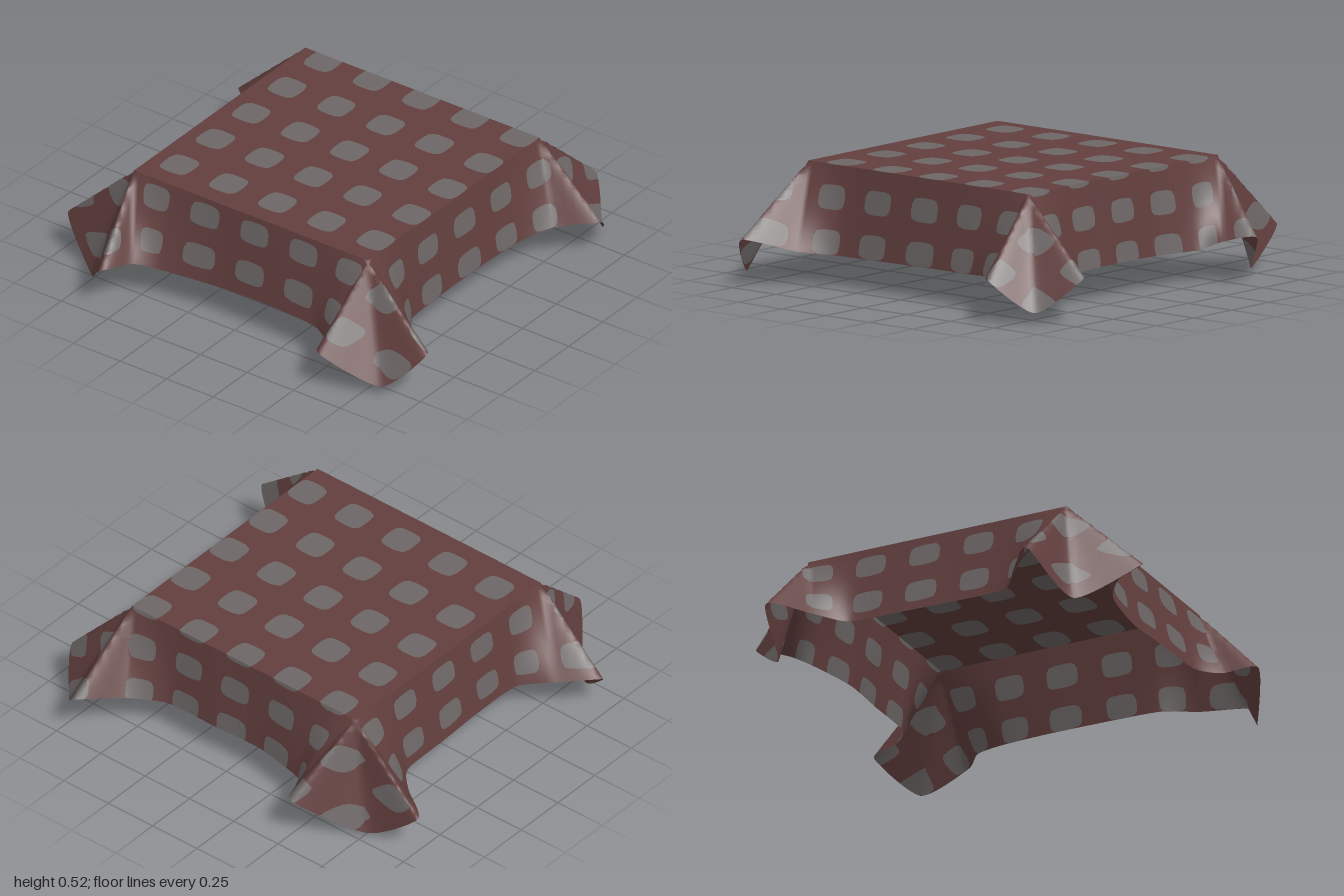
import * as THREE from 'three';
import { mergeVertices } from 'three/addons/utils/BufferGeometryUtils.js';

const T = 0.63;      // half width of the flat top
const H = 1.16;      // half width of the unfolded cloth
const TOP = 0.525;   // height of the flat top

// Hem positions at these places along each side of the unfolded cloth:
// cloth corner, fold tip, fold root, four along the side, fold root, fold tip
const KNOTS = [-H, -0.81, -T, -0.4, -0.13, 0.13, 0.4, T, 0.81, H];
const FRONT = [
  [-0.78, 0, 0.74], [-0.57, 0.2, 0.97], [-0.5, 0.19, 0.82], [-0.4, 0.155, 0.74], [-0.13, 0.15, 0.7],
  [0.13, 0.16, 0.705], [0.4, 0.155, 0.72], [0.52, 0.165, 0.8], [0.59, 0.19, 0.94]];
const LEFT = [
  [0.83, 0.045, 0.81], [1, 0.215, 0.7], [0.82, 0.16, 0.54], [0.7, 0.14, 0.4], [0.685, 0.14, 0.15],
  [0.69, 0.145, -0.13], [0.71, 0.15, -0.37], [0.78, 0.17, -0.53], [0.94, 0.19, -0.66]];
const BACK = [
  [0.82, 0.05, -0.83], [0.67, 0.2, -0.98], [0.53, 0.17, -0.8], [0.38, 0.15, -0.69], [0.13, 0.155, -0.69],
  [-0.13, 0.15, -0.68], [-0.38, 0.15, -0.73], [-0.45, 0.19, -0.82], [-0.53, 0.21, -0.94]];
const RIGHT = [
  [-0.76, 0.015, -0.71], [-1, 0.175, -0.65], [-0.83, 0.17, -0.51], [-0.72, 0.15, -0.38], [-0.71, 0.15, -0.13],
  [-0.7, 0.15, 0.13], [-0.71, 0.15, 0.37], [-0.84, 0.17, 0.48], [-0.99, 0.18, 0.62]];
const hem = new THREE.CatmullRomCurve3(
  [FRONT, LEFT, BACK, RIGHT].flat().map(p => new THREE.Vector3(...p)), true, 'catmullrom', 0.35);

const clamp = THREE.MathUtils.clamp;

// Point of the hem on a side (0 front, 1 left, 2 back, 3 right) at distance a along it
function hemPoint(side, a) {
  let k = 0;
  while (k < 8 && a > KNOTS[k + 1]) k++;
  const index = side * 9 + k + (a - KNOTS[k]) / (KNOTS[k + 1] - KNOTS[k]);
  return hem.getPoint((index / 36) % 1);
}

// Drape a point of the unfolded cloth over the square edge
function drape([u, v]) {
  const cu = clamp(u, -T, T), cv = clamp(v, -T, T);
  const base = new THREE.Vector3(cu, TOP, cv);
  const ou = Math.abs(u - cu), ov = Math.abs(v - cv);
  const out = Math.max(ou, ov);
  if (out < 1e-6) return base;
  const r = out / (H - T);
  const fan = (c, x) => clamp(c + (x - c) / r, -H, H);
  const au = fan(cu, u), av = fan(cv, v);
  const edge = ov >= ou
    ? (v > 0 ? hemPoint(0, au) : hemPoint(2, -au))
    : (u > 0 ? hemPoint(1, -av) : hemPoint(3, av));
  const p = base.lerp(edge, r);
  p.y = Math.max(0, p.y);
  return p;
}

// Positive inside a rounded square spot, negative outside
function spot([u, v]) {
  const step = 0.264;
  const du = (u - 0.03) / step, dv = (v + 0.054) / step;
  const x = (du - Math.round(du)) * step, y = (dv - Math.round(dv)) * step;
  return 0.073 - (x ** 4 + y ** 4) ** 0.25;
}

// Part of a triangle where sign * spot is positive
function clip(tri, sign) {
  const poly = [];
  tri.forEach((p, i) => {
    const q = tri[(i + 1) % 3];
    const a = sign * spot(p), b = sign * spot(q);
    if (a >= 0) poly.push(p);
    if ((a > 0 && b < 0) || (a < 0 && b > 0)) {
      const t = a / (a - b);
      poly.push([p[0] + (q[0] - p[0]) * t, p[1] + (q[1] - p[1]) * t]);
    }
  });
  return poly;
}

// Grid lines with exact lines along the edges of the top
function gridLines() {
  const lines = [];
  const add = (a, b, n) => { for (let i = 0; i < n; i++) lines.push(a + (b - a) * i / n); };
  add(-H, -T, 20);
  add(-T, T, 48);
  add(T, H, 20);
  lines.push(H);
  return lines;
}

// Cloth surface, either the flat top or everything hanging from it
function clothGeometry(isTop) {
  const lines = gridLines();
  const buckets = [[], []];
  for (let i = 0; i < lines.length - 1; i++) {
    for (let j = 0; j < lines.length - 1; j++) {
      const [u0, u1, v0, v1] = [lines[i], lines[i + 1], lines[j], lines[j + 1]];
      const mu = (u0 + u1) / 2, mv = (v0 + v1) / 2;
      if ((Math.max(Math.abs(mu), Math.abs(mv)) < T) !== isTop) continue;
      const a = [u0, v0], b = [u0, v1], c = [u1, v1], d = [u1, v0];
      // Cell diagonals follow the cloth's own diagonals
      const tris = mu * mv > 0 ? [[a, b, c], [a, c, d]] : [[a, b, d], [b, c, d]];
      for (const tri of tris) {
        [-1, 1].forEach((sign, k) => {
          const poly = clip(tri, sign);
          for (let n = 1; n < poly.length - 1; n++) {
            for (const p of [poly[0], poly[n], poly[n + 1]]) buckets[k].push(...drape(p).toArray());
          }
        });
      }
    }
  }
  const geometry = new THREE.BufferGeometry();
  const all = buckets[0].concat(buckets[1]);
  geometry.setAttribute('position', new THREE.Float32BufferAttribute(all, 3));
  geometry.addGroup(0, buckets[0].length / 3, 0);
  geometry.addGroup(buckets[0].length / 3, buckets[1].length / 3, 1);
  const merged = mergeVertices(geometry, 1e-5);
  merged.computeVertexNormals();
  return merged;
}

export function createModel() {
  const cloth = new THREE.MeshStandardMaterial({ color: 0x623f3e, side: THREE.DoubleSide });
  cloth.name = 'brown cloth';
  const spots = new THREE.MeshStandardMaterial({ color: 0x6d6766, side: THREE.DoubleSide });
  spots.name = 'grey spots';

  const model = new THREE.Group();
  model.name = 'tablecloth';
  for (const [name, isTop] of [['clothTop', true], ['clothSkirt', false]]) {
    const mesh = new THREE.Mesh(clothGeometry(isTop), [cloth, spots]);
    mesh.name = name;
    model.add(mesh);
  }
  return model;
}
